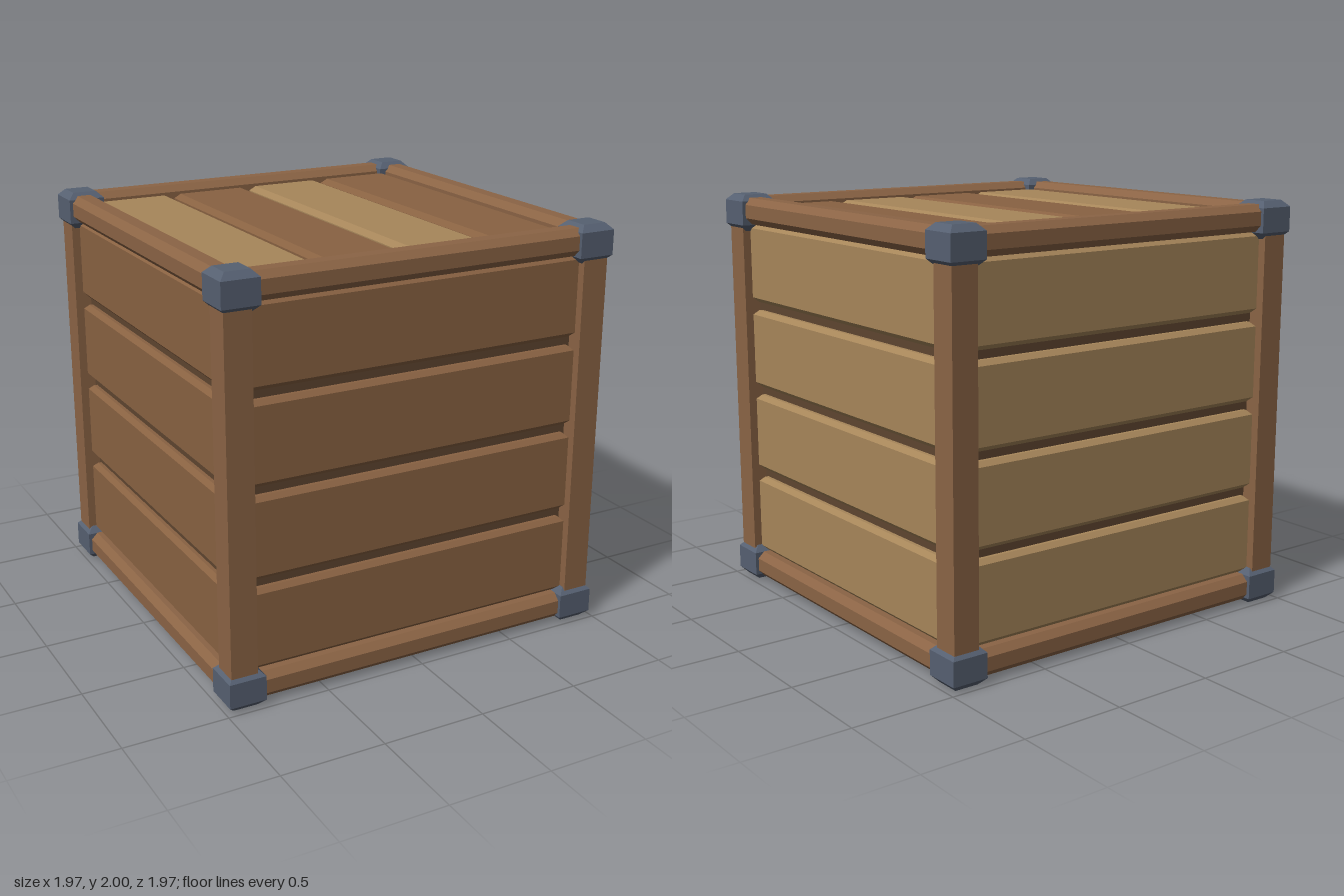
import * as THREE from 'three';

const mat = (name, color) => {
  const m = new THREE.MeshStandardMaterial({ color });
  m.name = name;
  return m;
};

// Box whose top and bottom edges are chamfered by c.
function bevelBox(w, h, d, c) {
  const g = new THREE.BoxGeometry(w, h, d, 1, 3, 1);
  const p = g.attributes.position;
  for (let i = 0; i < p.count; i++) {
    const x = p.getX(i), y = p.getY(i), z = p.getZ(i);
    if (Math.abs(y) > h * 0.4) {
      p.setX(i, x - Math.sign(x) * c);
      p.setZ(i, z - Math.sign(z) * c);
    } else {
      p.setY(i, Math.sign(y) * (h / 2 - c));
    }
  }
  const flat = g.toNonIndexed();
  flat.computeVertexNormals();
  return flat;
}

export function createModel() {
  const crate = new THREE.Group();
  crate.name = 'crate';
  const frameWood = mat('frameWood', 0x8b6445);
  const darkWood = mat('darkPlankWood', 0x896242);
  const lightWood = mat('lightPlankWood', 0xa7865a);
  const coreWood = mat('coreWood', 0x5e4530);
  const metal = mat('cornerMetal', 0x566071);

  const add = (name, geometry, material, x, y, z, parent = crate) => {
    const mesh = new THREE.Mesh(geometry, material);
    mesh.name = name;
    mesh.position.set(x, y, z);
    parent.add(mesh);
    return mesh;
  };

  // Inner box seen through the gaps and from below
  add('core', new THREE.BoxGeometry(1.78, 1.79, 1.78), coreWood, 0, 1.005, 0);

  // Four horizontal planks on each side: front, right (+x), back, left (-x)
  const sidePlank = bevelBox(1.68, 0.393, 0.09, 0.022);
  [['front', darkWood], ['left', lightWood], ['back', lightWood], ['right', darkWood]]
    .forEach(([name, wood], i) => {
      const side = new THREE.Group();
      side.name = name + 'Planks';
      side.rotation.y = i * Math.PI / 2;
      crate.add(side);
      for (let k = 0; k < 4; k++) {
        add(name + 'Plank', sidePlank, wood, 0, 0.351 + k * 0.436, 0.885, side);
      }
    });

  // Lid planks alternating light and dark
  const lidPlank = bevelBox(0.39, 0.09, 1.68, 0.025);
  for (let k = 0; k < 4; k++) {
    add('lidPlank', lidPlank, k % 2 ? darkWood : lightWood, -0.645 + k * 0.43, 1.9, 0);
  }

  // Frame: posts, chamfered beams and metal corners
  const post = new THREE.BoxGeometry(0.13, 1.84, 0.13);
  const beamX = bevelBox(1.76, 0.13, 0.13, 0.032);
  const beamZ = bevelBox(0.13, 0.13, 1.76, 0.032);
  const corner = bevelBox(0.18, 0.18, 0.18, 0.031);
  for (const s of [-1, 1]) {
    for (const y of [0.085, 1.92]) {
      add('crossBeam', beamX, frameWood, 0, y, s * 0.905);
      add('sideBeam', beamZ, frameWood, s * 0.905, y, 0);
    }
    for (const t of [-1, 1]) {
      add('post', post, frameWood, s * 0.905, 1, t * 0.905);
      for (const y of [0.09, 1.91]) {
        add('cornerCap', corner, metal, s * 0.896, y, t * 0.896);
      }
    }
  }
  return crate;
}
